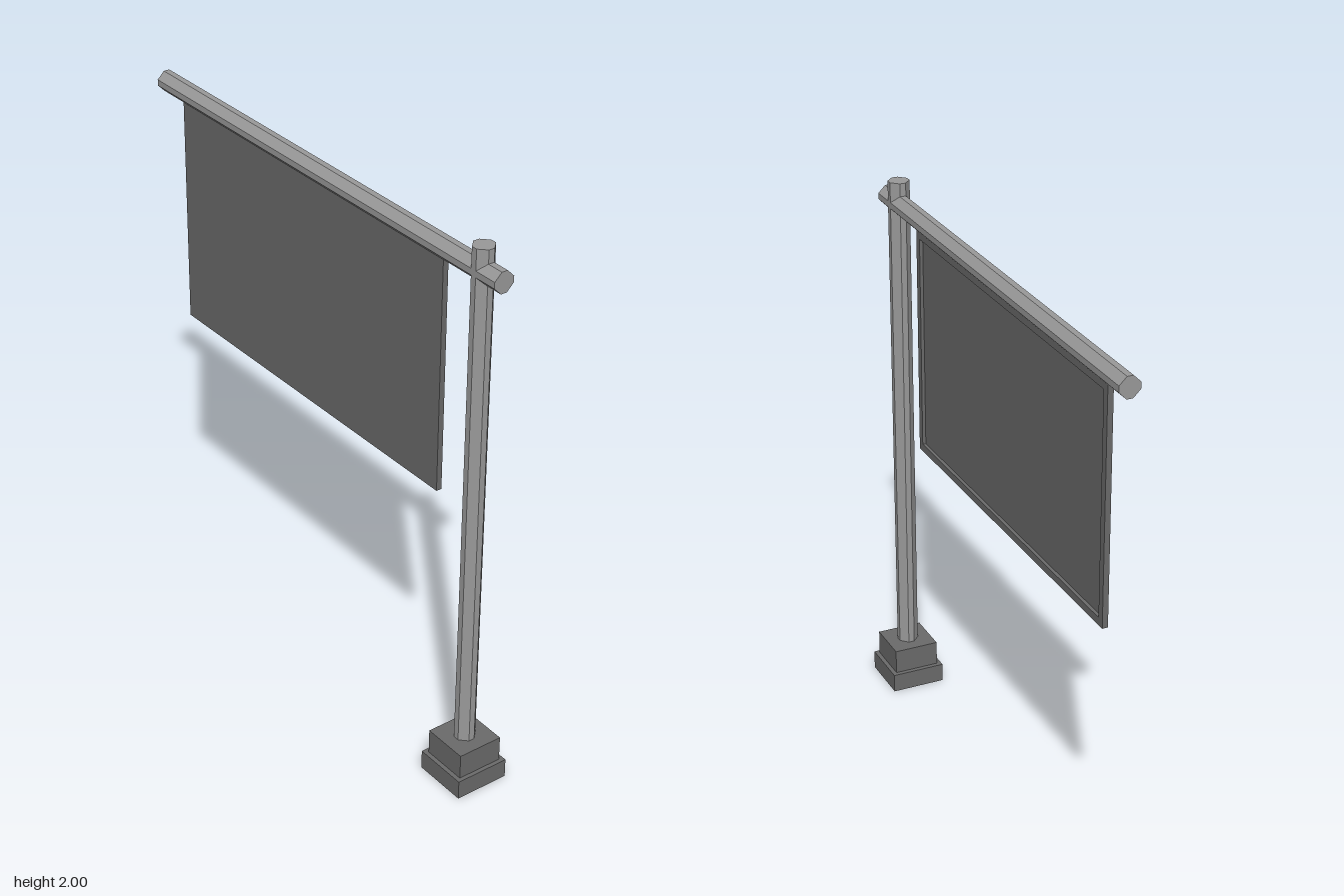
import * as THREE from 'three';

export function createModel() {
  const group = new THREE.Group();
  const dark = new THREE.MeshStandardMaterial({ color: 0x6b6b6b, flatShading: true });
  const light = new THREE.MeshStandardMaterial({ color: 0x9a9a9a, flatShading: true });
  const postZ = 0.818;

  const add = (name, geometry, material, x, y, z) => {
    const mesh = new THREE.Mesh(geometry, material);
    mesh.name = name;
    mesh.position.set(x, y, z);
    group.add(mesh);
  };

  // Eight-sided bar along z: a square turned on its corner, with the corners cut flat
  const bar = (length) => {
    const r = 0.037, f = 0.011;
    const section = new THREE.Shape([
      [r, -f], [r, f], [f, r], [-f, r], [-r, f], [-r, -f], [-f, -r], [f, -r],
    ].map(([x, y]) => new THREE.Vector2(x, y)));
    return new THREE.ExtrudeGeometry(section, { depth: length, bevelEnabled: false })
      .translate(0, 0, -length / 2);
  };

  // Stepped square base
  add('baseFoot', new THREE.BoxGeometry(0.2, 0.07, 0.2), dark, 0, 0.035, 0.817);
  add('basePlinth', new THREE.BoxGeometry(0.168, 0.092, 0.168), dark, 0, 0.116, postZ);

  // Upright post and the crossbar through its top
  add('post', bar(1.84).rotateX(Math.PI / 2), light, 0, 1.08, postZ);
  add('crossbar', bar(1.834), light, 0, 1.916, 0);

  // Sign: raised rim on the left (+x) face, flat on the other
  const width = 1.44, height = 0.835, rim = 0.027;
  const thickness = 0.02, recess = 0.012;
  const signY = 1.462, signZ = -0.077;
  const rect = (path, w, h) => path
    .moveTo(-w / 2, -h / 2).lineTo(w / 2, -h / 2)
    .lineTo(w / 2, h / 2).lineTo(-w / 2, h / 2).closePath();
  const outline = rect(new THREE.Shape(), width, height);
  outline.holes.push(rect(new THREE.Path(), width - 2 * rim, height - 2 * rim));
  const rimGeometry = new THREE.ExtrudeGeometry(outline, { depth: recess, bevelEnabled: false })
    .rotateY(Math.PI / 2);
  add('signRim', rimGeometry, dark, thickness / 2 - recess, signY, signZ);
  add('signPanel', new THREE.BoxGeometry(thickness - recess, height, width), dark, -recess / 2, signY, signZ);

  return group;
}
